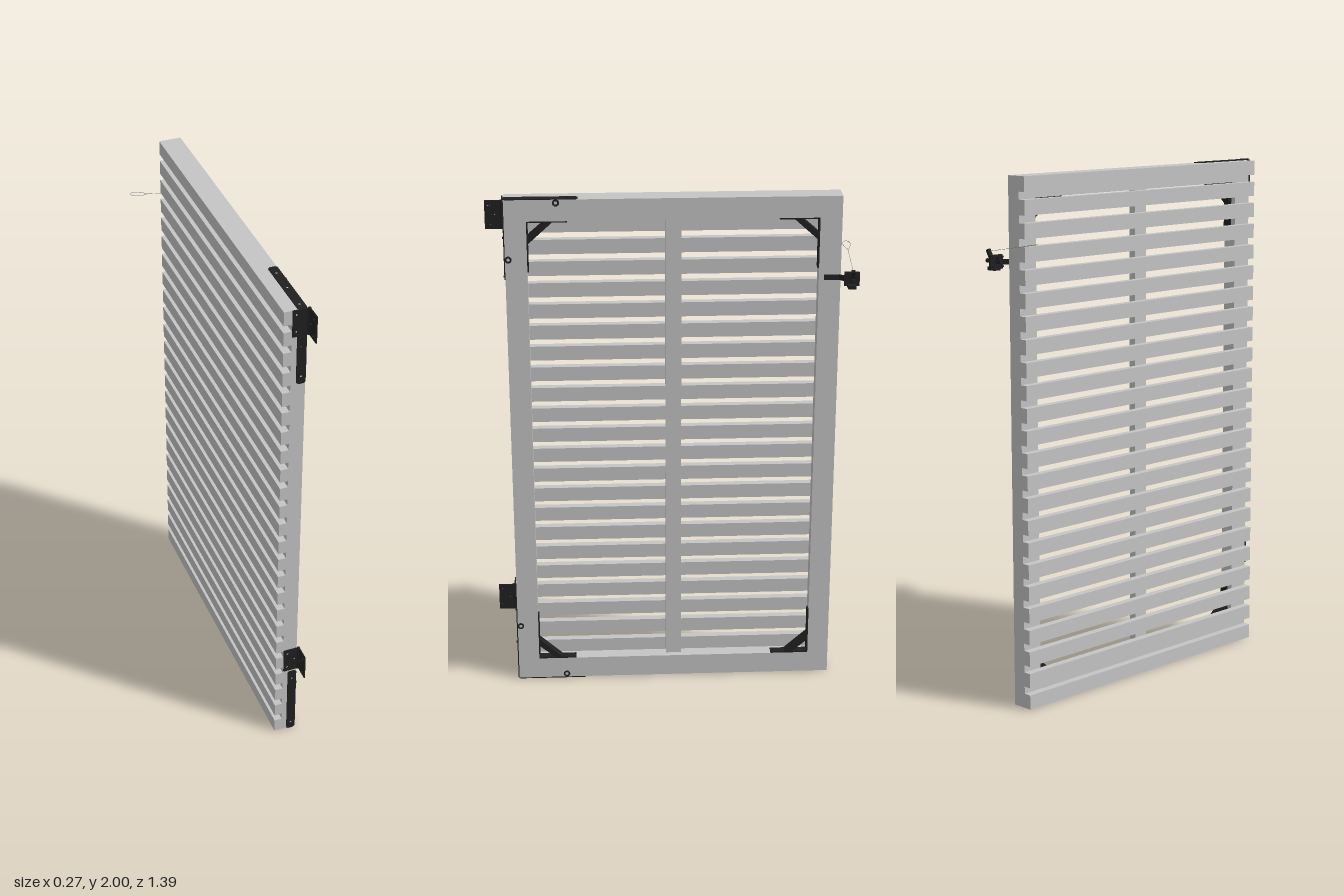
import * as THREE from 'three';

const wood = new THREE.MeshStandardMaterial({ color: 0xc4c4c4 });
wood.name = 'pale timber';
const steel = new THREE.MeshStandardMaterial({ color: 0x202020, side: THREE.DoubleSide });
steel.name = 'black steel';
const wire = new THREE.MeshStandardMaterial({ color: 0x8c8c8c });
wire.name = 'grey wire';

function add(parent, name, geo, mat, x = 0, y = 0, z = 0) {
  const m = new THREE.Mesh(geo, mat);
  m.name = name;
  m.position.set(x, y, z);
  parent.add(m);
  return m;
}

// Box given by its lower and upper corners
function block(parent, name, mat, a, b) {
  return add(parent, name, new THREE.BoxGeometry(b[0] - a[0], b[1] - a[1], b[2] - a[2]), mat,
    (a[0] + b[0]) / 2, (a[1] + b[1]) / 2, (a[2] + b[2]) / 2);
}

// Flat plate in XY with round holes, thickness along +z
function plate(points, depth, holes = [], r = 0.005) {
  const s = new THREE.Shape(points.map(p => new THREE.Vector2(p[0], p[1])));
  for (const [x, y] of holes) {
    const h = new THREE.Path();
    h.absarc(x, y, r, 0, Math.PI * 2, true);
    s.holes.push(h);
  }
  return new THREE.ExtrudeGeometry(s, { depth, bevelEnabled: false, curveSegments: 8 });
}

// Long strap with clipped corners
function strap(w, l, t) {
  const c = 0.007;
  return plate([[c, 0], [w - c, 0], [w, c], [w, l - c], [w - c, l], [c, l], [0, l - c], [0, c]], t,
    [[w / 2, 0.03], [w / 2, l * 0.5], [w / 2, l - 0.04]]);
}

// Bolt along x
function bolt(parent, x, y, z, r, len) {
  const m = add(parent, 'bolt', new THREE.CylinderGeometry(r, r, len, 12), steel, x, y, z);
  m.rotation.z = Math.PI / 2;
  return m;
}

export function createModel() {
  const gate = new THREE.Group();
  gate.name = 'slattedGate';
  const y0 = 0.004, y1 = 1.997, z0 = -0.623, z1 = 0.627;

  // Horizontal slats on the back
  const count = 24, h = 0.056, pitch = (y1 - y0 - h) / (count - 1);
  for (let i = 0; i < count; i++) {
    const y = y0 + i * pitch;
    block(gate, 'slat', wood, [-0.03, y, z0], [0, y + h, z1]);
  }

  // Frame and middle post
  block(gate, 'topRail', wood, [0, 1.915, z0], [0.055, y1, z1]);
  block(gate, 'bottomRail', wood, [0, y0, z0], [0.055, 0.09, z1]);
  block(gate, 'hingeStile', wood, [0, 0.09, 0.545], [0.055, 1.915, z1]);
  block(gate, 'latchStile', wood, [0, 0.09, z0], [0.055, 1.915, -0.541]);
  block(gate, 'middlePost', wood, [0, 0.09, -0.028], [0.03, 1.915, 0.032]);

  // Braces inside the four corners
  for (const sy of [-1, 1]) for (const sz of [-1, 1]) {
    const g = new THREE.Group();
    g.name = 'cornerBrace';
    g.position.set(0, sy > 0 ? 0.09 : 1.915, sz > 0 ? -0.541 : 0.545);
    g.scale.set(1, sy, sz);
    block(g, 'uprightArm', steel, [0.02, 0, 0], [0.055, 0.195, 0.005]);
    block(g, 'levelArm', steel, [0.02, 0, 0], [0.055, 0.005, 0.15]);
    const d = add(g, 'diagonal', plate([[0.07, 0], [0.1, 0], [0, 0.09], [0, 0.06]], 0.035), steel, 0.055, 0, 0);
    d.rotation.y = -Math.PI / 2;
    gate.add(g);
  }

  // Angle straps wrapped around the hinge-side corners
  add(gate, 'upperEndStrap', strap(0.035, 0.31, 0.004), steel, 0.02, 1.69, z1);
  add(gate, 'lowerEndStrap', strap(0.035, 0.31, 0.004), steel, 0.02, 0.002, z1);
  add(gate, 'topStrap', strap(0.035, 0.275, 0.003), steel, 0.02, y1, 0.63).rotation.x = -Math.PI / 2;
  add(gate, 'bottomStrap', strap(0.035, 0.275, 0.004), steel, 0.02, y0, 0.355).rotation.x = Math.PI / 2;
  for (const [y, z] of [[1.985, 0.435], [1.77, 0.615], [0.24, 0.615], [0.018, 0.435]]) {
    const ring = add(gate, 'boltHead', new THREE.TorusGeometry(0.01, 0.0035, 8, 16), steel, 0.056, y, z);
    ring.rotation.y = Math.PI / 2;
  }
  for (const y of [1.85, 1.7, 0.305, 0.16]) {
    const s = add(gate, 'strapScrew', new THREE.CylinderGeometry(0.004, 0.004, 0.005, 8), steel, 0.037, y, 0.632);
    s.rotation.x = Math.PI / 2;
  }

  // Hinges: one leaf on the gate edge, one reaching outward
  for (const y of [1.892, 0.325]) {
    const g = new THREE.Group();
    g.name = 'hinge';
    g.position.y = y;
    const H = 0.108;
    add(g, 'gateLeaf', plate([[0, 0], [0.062, 0], [0.062, H], [0, H]], 0.004,
      [[0.015, 0.02], [0.015, 0.088], [0.045, 0.054]]), steel, 0, 0, 0.63);
    const leaf = add(g, 'postLeaf', plate([[0, 0], [0.062, 0], [0.062, H], [0, H]], 0.004,
      [[0.022, 0.054], [0.046, 0.02], [0.046, 0.088]]), steel, 0.064, 0, 0.633);
    leaf.rotation.y = -Math.PI / 2;
    add(g, 'knuckle', new THREE.CylinderGeometry(0.006, 0.006, H, 12), steel, 0.06, H / 2, 0.633);
    for (const [by, bz] of [[0.054, 0.655], [0.02, 0.679], [0.088, 0.679]]) bolt(g, 0.06, by, bz, 0.004, 0.016);
    gate.add(g);
  }

  // Latch: cranked arm, catch block, striker pin and lever
  const latch = new THREE.Group();
  latch.name = 'latch';
  gate.add(latch);
  const arm = add(latch, 'latchArm', plate([[0.055, 0.56], [0.055, 0.62], [0.078, 0.645], [0.078, 0.692],
    [0.084, 0.692], [0.084, 0.642], [0.061, 0.616], [0.061, 0.56]], 0.02), steel, 0, 1.675, 0);
  arm.rotation.x = -Math.PI / 2;
  block(latch, 'catchPlate', steel, [0.078, 1.66, -0.69], [0.09, 1.712, -0.633]);
  block(latch, 'catchFoot', steel, [0.078, 1.655, -0.675], [0.115, 1.668, -0.645]);
  bolt(latch, 0.093, 1.688, -0.661, 0.008, 0.078);
  const lever = block(latch, 'lever', steel, [0.105, 1.672, -0.668], [0.117, 1.732, -0.654]);
  lever.rotation.z = -0.5;
  const hook = block(latch, 'hook', steel, [0.06, 1.69, -0.666], [0.105, 1.702, -0.656]);
  hook.rotation.z = -0.25;
  for (const [y, z] of [[1.67, -0.682], [1.705, -0.682], [1.67, -0.64], [1.705, -0.64]]) bolt(latch, 0.08, y, z, 0.004, 0.022);
  for (const z of [-0.575, -0.6]) bolt(latch, 0.061, 1.685, z, 0.006, 0.006);

  // Thin pull wire with a teardrop loop
  const loop = new THREE.CatmullRomCurve3([[-0.07, 1.753, -0.665], [-0.1, 1.758, -0.653], [-0.128, 1.763, -0.652],
    [-0.14, 1.765, -0.665], [-0.128, 1.763, -0.678], [-0.1, 1.758, -0.677]].map(p => new THREE.Vector3(...p)), true);
  add(gate, 'pullLoop', new THREE.TubeGeometry(loop, 40, 0.001, 6, true), wire);
  const line = new THREE.LineCurve3(new THREE.Vector3(-0.07, 1.753, -0.665), new THREE.Vector3(0.11, 1.724, -0.661));
  add(gate, 'pullWire', new THREE.TubeGeometry(line, 1, 0.0008, 6), wire);

  return gate;
}
